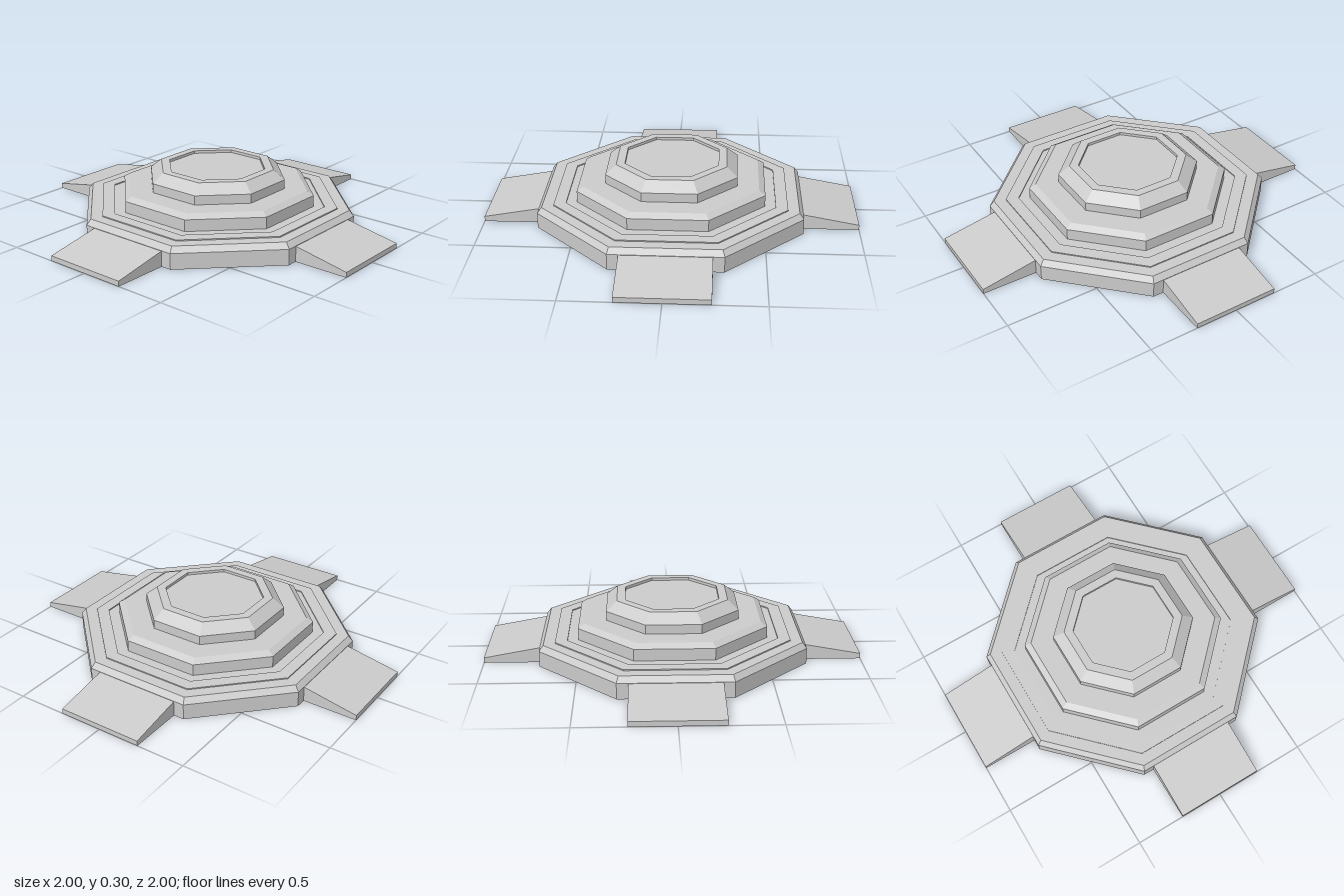
import * as THREE from 'three';

const material = new THREE.MeshStandardMaterial({ color: 0xcccccc, flatShading: true });

// Octagonal solid from [apothem, height] pairs, flat sides facing the axes
function octagon(name, profile) {
  const k = 1 / Math.cos(Math.PI / 8);
  const points = profile.map(([a, y]) => new THREE.Vector2(a * k, y));
  const mesh = new THREE.Mesh(new THREE.LatheGeometry(points, 8, Math.PI / 8), material);
  mesh.name = name;
  return mesh;
}

export function createModel() {
  const model = new THREE.Group();
  model.name = 'steppedPlatform';

  // Three stepped tiers with bevelled rims
  model.add(octagon('lowerTier', [[0, 0], [0.703, 0], [0.703, 0.085], [0.68, 0.115], [0, 0.115]]));
  model.add(octagon('middleTier', [[0.5, 0.11], [0.5, 0.178], [0.467, 0.2], [0, 0.2]]));

  // Top tier has a shallow recessed floor
  model.add(octagon('topTier', [
    [0.352, 0.19], [0.352, 0.25], [0.295, 0.3], [0.25, 0.3], [0.25, 0.285], [0, 0.285],
  ]));

  // Thin raised band on the lower tier
  model.add(octagon('raisedBand', [[0.62, 0.114], [0.62, 0.121], [0.556, 0.121], [0.556, 0.114]]));

  // Four wedge ramps, one on each axis
  const side = new THREE.Shape([
    new THREE.Vector2(0.69, 0), new THREE.Vector2(1, 0),
    new THREE.Vector2(1, 0.028), new THREE.Vector2(0.69, 0.085),
  ]);
  const rampGeometry = new THREE.ExtrudeGeometry(side, { depth: 0.468, bevelEnabled: false });
  rampGeometry.translate(0, 0, -0.234);
  ['leftRamp', 'backRamp', 'rightRamp', 'frontRamp'].forEach((name, i) => {
    const ramp = new THREE.Mesh(rampGeometry, material);
    ramp.name = name;
    ramp.rotation.y = i * Math.PI / 2;
    model.add(ramp);
  });

  return model;
}
